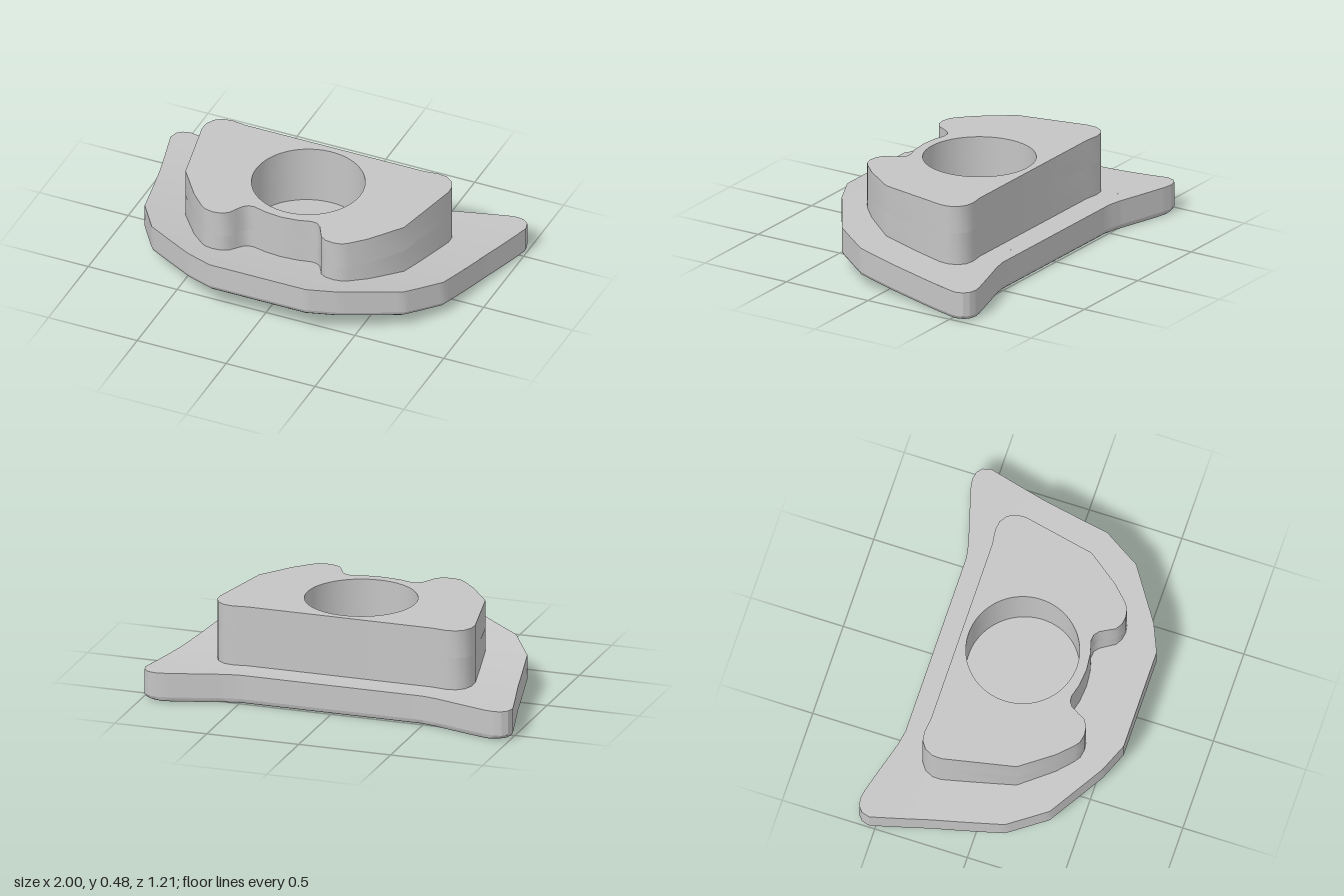
import * as THREE from 'three';
import { toCreasedNormals } from 'three/addons/utils/BufferGeometryUtils.js';

// Half outlines as [x, z], mirrored across x = 0
const PLATE_BACK = [[0, -0.5], [0.5, -0.5], [0.58, -0.515], [0.7, -0.55], [0.87, -0.598], [0.92, -0.606], [0.96, -0.597], [0.988, -0.573], [1, -0.53]];
const PLATE_FRONT = [[0, 0.605], [0.27, 0.605], [0.42, 0.54], [0.71, 0.35], [0.84, 0.15], [0.92, -0.22], [1, -0.53]];
const BOSS = [[0, -0.36], [0.5, -0.36], [0.58, -0.37], [0.63, -0.363], [0.67, -0.335], [0.692, -0.29], [0.694, -0.24], [0.615, 0.14], [0.49, 0.31],
  [0.415, 0.385], [0.385, 0.407], [0.34, 0.416], [0.295, 0.41], [0.26, 0.388], [0.237, 0.345], [0.217, 0.31], [0.192, 0.29], [0.16, 0.287], [0.09, 0.306], [0, 0.315]];
// Underside pockets: opening in the plate, and narrower well inside the boss
const OPEN_BACK = [[0.33, -0.37], [0.73, -0.4], [0.775, -0.385], [0.8, -0.34]];
const OPEN_FRONT = [[0.33, 0.28], [0.36, 0.32], [0.52, 0.32], [0.6, 0.24], [0.69, 0.05], [0.78, -0.26], [0.8, -0.34]];
const WELL_BACK = [[0.33, -0.33], [0.58, -0.33], [0.62, -0.32], [0.655, -0.27]];
const WELL_FRONT = [[0.33, 0.25], [0.36, 0.3], [0.45, 0.3], [0.53, 0.19], [0.58, 0.08], [0.65, -0.22], [0.655, -0.27]];

const THICK = 0.155, BEVEL = 0.025, INSET = 0.97;
const POCKET_DEPTH = 0.11, WELL_Y = 0.14, CEILING = 0.33, BOSS_TOP = 0.48;
const bottomY = (z) => 0.0917 * (z + 0.6) ** 2;
const topY = (z) => bottomY(z) + THICK;
const lerp = THREE.MathUtils.lerp;

// Height of a polyline at x
function at(pts, x) {
  for (let i = 1; i < pts.length; i++) {
    const [a, b] = [pts[i - 1], pts[i]];
    if (x <= b[0] + 1e-9) return lerp(a[1], b[1], (x - a[0]) / (b[0] - a[0]));
  }
  return pts[pts.length - 1][1];
}

// Surface through equally long rows of points
function skin(rows) {
  const n = rows[0].length, index = [];
  for (let i = 0; i + 1 < rows.length; i++) {
    for (let j = 0; j + 1 < n; j++) {
      const a = i * n + j, b = a + n;
      index.push(a, a + 1, b, b, a + 1, b + 1);
    }
  }
  const g = new THREE.BufferGeometry();
  g.setAttribute('position', new THREE.Float32BufferAttribute(rows.flat(2), 3));
  g.setIndex(index);
  return toCreasedNormals(g, 0.5);
}

// Curved sheet between two polylines over x0..x1
function sheet(x0, x1, back, front, height, side, up) {
  const xs = [...back, ...front].map((p) => p[0]).filter((x) => x > x0 && x < x1);
  for (let i = 0; i <= 24; i++) xs.push(lerp(x0, x1, i / 24));
  const sorted = [...new Set(xs)].sort((a, b) => a - b);
  const rows = sorted.map((x) => Array.from({ length: 19 }, (_, k) => {
    const z = lerp(at(back, x), at(front, x), k / 18);
    return [side * x, height(z), z];
  }));
  return skin((side > 0) === up ? rows : rows.reverse());
}

// Split every edge of a polyline so it can follow the curve
function refine(pts, steps = 8) {
  const out = [];
  for (let i = 0; i + 1 < pts.length; i++) {
    for (let k = 0; k < steps; k++) {
      out.push([0, 1].map((c) => lerp(pts[i][c], pts[i + 1][c], k / steps)));
    }
  }
  out.push(pts[pts.length - 1]);
  return out;
}

const loop = (back, front) => [...back, ...front.slice(0, -1).reverse(), back[0]];
const mirrored = (half) => [...half, ...half.slice(1, -1).reverse().map(([x, z]) => [-x, z])];
const scaled = (pts, s) => pts.map(([x, z]) => [x * s, z * s]);
const vectors = (pts) => pts.map(([x, z]) => new THREE.Vector2(x, -z));
const lifted = (pts, height) => pts.map(([x, z]) => [x, height(z), z]);

// Vertical block of the boss with holes
function block(y0, y1, holes) {
  const shape = new THREE.Shape(vectors(mirrored(BOSS)));
  const bore = new THREE.Path();
  bore.absarc(0, 0.03, 0.292, 0, Math.PI * 2, true);
  shape.holes.push(bore, ...holes);
  const g = new THREE.ExtrudeGeometry(shape, { depth: y1 - y0, bevelEnabled: false, curveSegments: 64 });
  g.rotateX(-Math.PI / 2);
  g.translate(0, y0, 0);
  return toCreasedNormals(g, 0.9);
}

export function createModel() {
  const group = new THREE.Group();
  const grey = new THREE.MeshStandardMaterial({ color: 0xc5c5c5, side: THREE.DoubleSide });
  grey.name = 'grey';
  const add = (name, geometry) => {
    const mesh = new THREE.Mesh(geometry, grey);
    mesh.name = name;
    group.add(mesh);
  };

  // Curved plate faces, left open over the two pockets
  const faces = [
    ['plateTop', PLATE_BACK, PLATE_FRONT, WELL_BACK, WELL_FRONT, topY, 1, true],
    ['plateBottom', scaled(PLATE_BACK, INSET), scaled(PLATE_FRONT, INSET), OPEN_BACK, OPEN_FRONT, bottomY, INSET, false],
  ];
  for (const [name, back, front, holeBack, holeFront, y, end, up] of faces) {
    const inner = holeBack[0][0], outer = holeBack[holeBack.length - 1][0];
    for (const side of [1, -1]) {
      add(name, sheet(0, inner, back, front, y, side, up));
      add(name, sheet(inner, outer, back, holeBack, y, side, up));
      add(name, sheet(inner, outer, holeFront, front, y, side, up));
      add(name, sheet(outer, end, back, front, y, side, up));
    }
  }

  // Plate rim and its small rounded lower edge
  const half = [...PLATE_BACK, ...PLATE_FRONT.slice(0, -1).reverse()];
  const rim = refine([...mirrored(half), half[0]]);
  const upper = lifted(rim, topY);
  const lower = lifted(rim, (z) => bottomY(z) + BEVEL);
  const middle = lifted(scaled(rim, 0.99), (z) => bottomY(z) + BEVEL * 0.35);
  const foot = lifted(scaled(rim, INSET), bottomY);
  add('plateRim', skin([upper, lower]));
  add('plateLowerEdge', skin([lower, middle, foot]));

  // Pocket walls, with a ledge where the opening meets the narrower well
  const opening = refine(loop(OPEN_BACK, OPEN_FRONT));
  const well = refine(loop(WELL_BACK, WELL_FRONT));
  const pocket = [
    lifted(opening, bottomY),
    lifted(opening, (z) => Math.min(bottomY(z) + POCKET_DEPTH, WELL_Y)),
    lifted(well, () => WELL_Y),
  ];
  for (const side of [1, -1]) {
    const rows = pocket.map((row) => row.map(([x, y, z]) => [side * x, y, z]));
    add('pocketWall', skin(side > 0 ? rows : rows.reverse()));
  }

  // Raised boss: hollow lower part, then the solid top around the bore
  const wells = [1, -1].map((s) =>
    new THREE.Path(vectors(loop(WELL_BACK, WELL_FRONT).slice(0, -1).map(([x, z]) => [s * x, z]))));
  add('bossLower', block(WELL_Y, CEILING, wells));
  add('bossUpper', block(CEILING, BOSS_TOP, []));
  return group;
}
